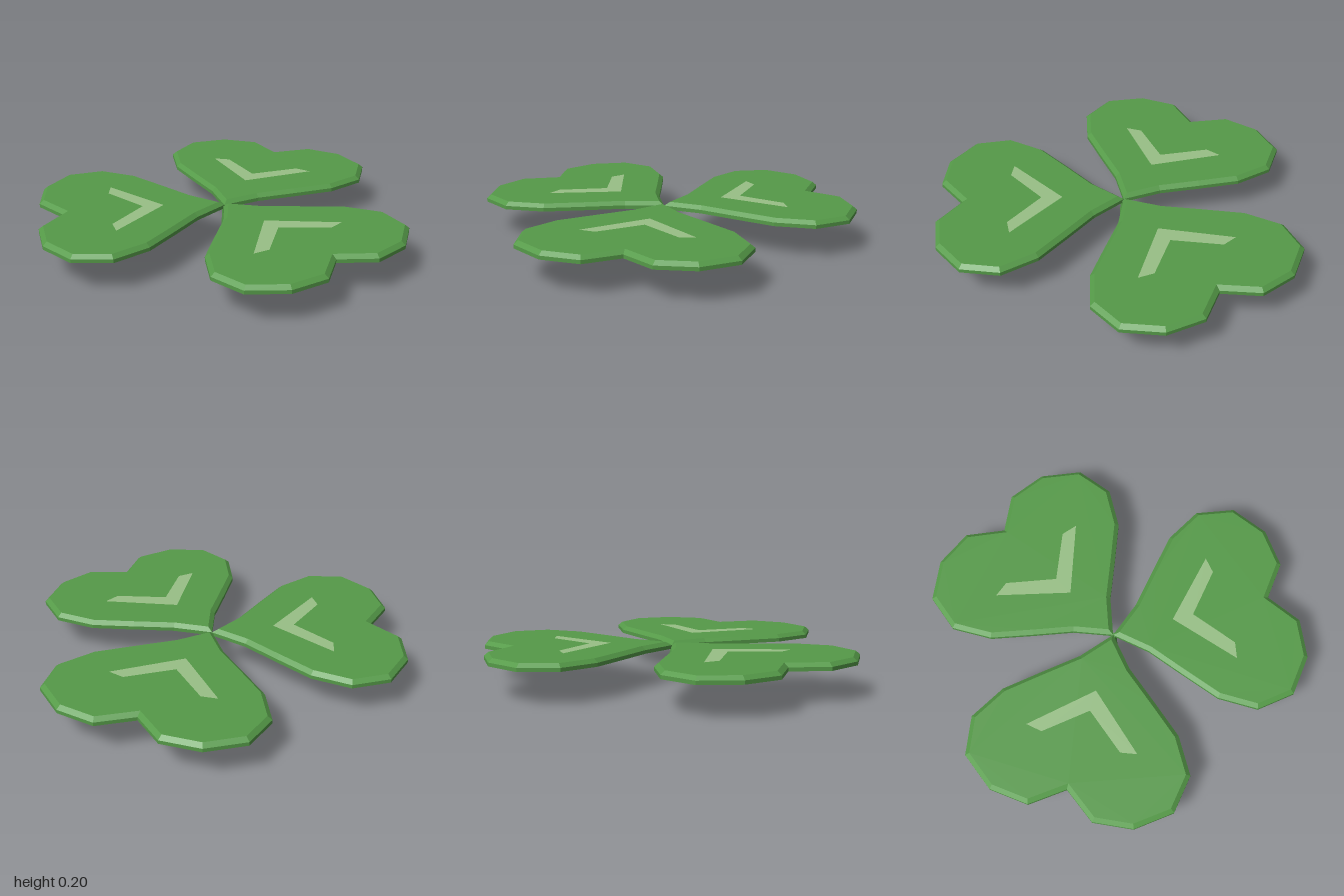
import * as THREE from 'three';

const CENTRE_Z = -0.047;   // where the three leaf tips meet
const BOTTOM = 0.162, RIM = 0.181, TOP = 0.2;
const INSET = 0.022;

const leafMat = new THREE.MeshStandardMaterial({ color: 0x559a48, flatShading: true });
const markMat = new THREE.MeshStandardMaterial({ color: 0x98c086 });

// Half outlines as [sideways, distance from the tip]; first and last points lie on the axis
const leafHalf = [[0, 0], [0.134, 0.158], [0.298, 0.293], [0.465, 0.434], [0.572, 0.615],
  [0.54, 0.815], [0.37, 0.945], [0.165, 0.967], [0, 0.845]];
const markHalf = [[0, 0.322], [0.29, 0.585], [0.205, 0.6], [0, 0.432]];

// Mirror a half outline into a closed loop, counter-clockwise seen from above
function mirrored(half) {
  const right = half.map(([x, d]) => new THREE.Vector2(x, -d));
  const left = half.slice(1, -1).reverse().map(([x, d]) => new THREE.Vector2(-x, -d));
  return [...right, ...left].reverse();
}

// Move every edge of a loop inwards by the same distance
function inset(loop, w) {
  const n = loop.length;
  return loop.map((p, i) => {
    const a = p.clone().sub(loop[(i + n - 1) % n]).normalize();
    const b = loop[(i + 1) % n].clone().sub(p).normalize();
    const na = new THREE.Vector2(-a.y, a.x), nb = new THREE.Vector2(-b.y, b.x);
    return p.clone().addScaledVector(na.clone().add(nb), w / (1 + na.dot(nb)));
  });
}

// Heart-shaped slab: straight lower wall, bevelled upper edge, flat caps
function leafGeometry() {
  const outer = mirrored(leafHalf), inner = inset(outer, INSET), n = outer.length;
  const rings = [[outer, BOTTOM], [outer, RIM], [inner, TOP]];
  const pos = [], idx = [];
  for (const [loop, y] of rings) for (const p of loop) pos.push(p.x, y, -p.y);
  for (let r = 0; r < 2; r++) {
    for (let i = 0; i < n; i++) {
      const j = (i + 1) % n, a = r * n + i, b = r * n + j;
      idx.push(a, b, b + n, a, b + n, a + n);
    }
  }
  for (const [a, b, c] of THREE.ShapeUtils.triangulateShape(inner, [])) {
    idx.push(a + 2 * n, b + 2 * n, c + 2 * n);
  }
  for (const [a, b, c] of THREE.ShapeUtils.triangulateShape(outer, [])) idx.push(a, c, b);
  const indexed = new THREE.BufferGeometry();
  indexed.setAttribute('position', new THREE.Float32BufferAttribute(pos, 3));
  indexed.setIndex(idx);
  const geo = indexed.toNonIndexed();
  geo.computeVertexNormals();
  return geo;
}

export function createModel() {
  const model = new THREE.Group();
  model.name = 'clover';

  // Three leaves, each with a pale chevron on top
  const leafGeo = leafGeometry();
  const markGeo = new THREE.ShapeGeometry(new THREE.Shape(mirrored(markHalf)));
  markGeo.rotateX(-Math.PI / 2).translate(0, TOP + 0.002, 0);
  ['frontLeaf', 'backLeftLeaf', 'backRightLeaf'].forEach((name, i) => {
    const leaf = new THREE.Group();
    leaf.name = name;
    const blade = new THREE.Mesh(leafGeo, leafMat);
    blade.name = 'leafBlade';
    const mark = new THREE.Mesh(markGeo, markMat);
    mark.name = 'leafChevron';
    leaf.add(blade, mark);
    leaf.position.z = CENTRE_Z;
    leaf.rotation.y = i * Math.PI * 2 / 3;
    model.add(leaf);
  });

  // Short tapered stem
  const stemHeight = 0.175;
  const stem = new THREE.Mesh(new THREE.CylinderGeometry(0.014, 0.021, stemHeight, 5), leafMat);
  stem.name = 'stem';
  stem.position.set(0, stemHeight / 2, CENTRE_Z + 0.003);
  model.add(stem);

  return model;
}
